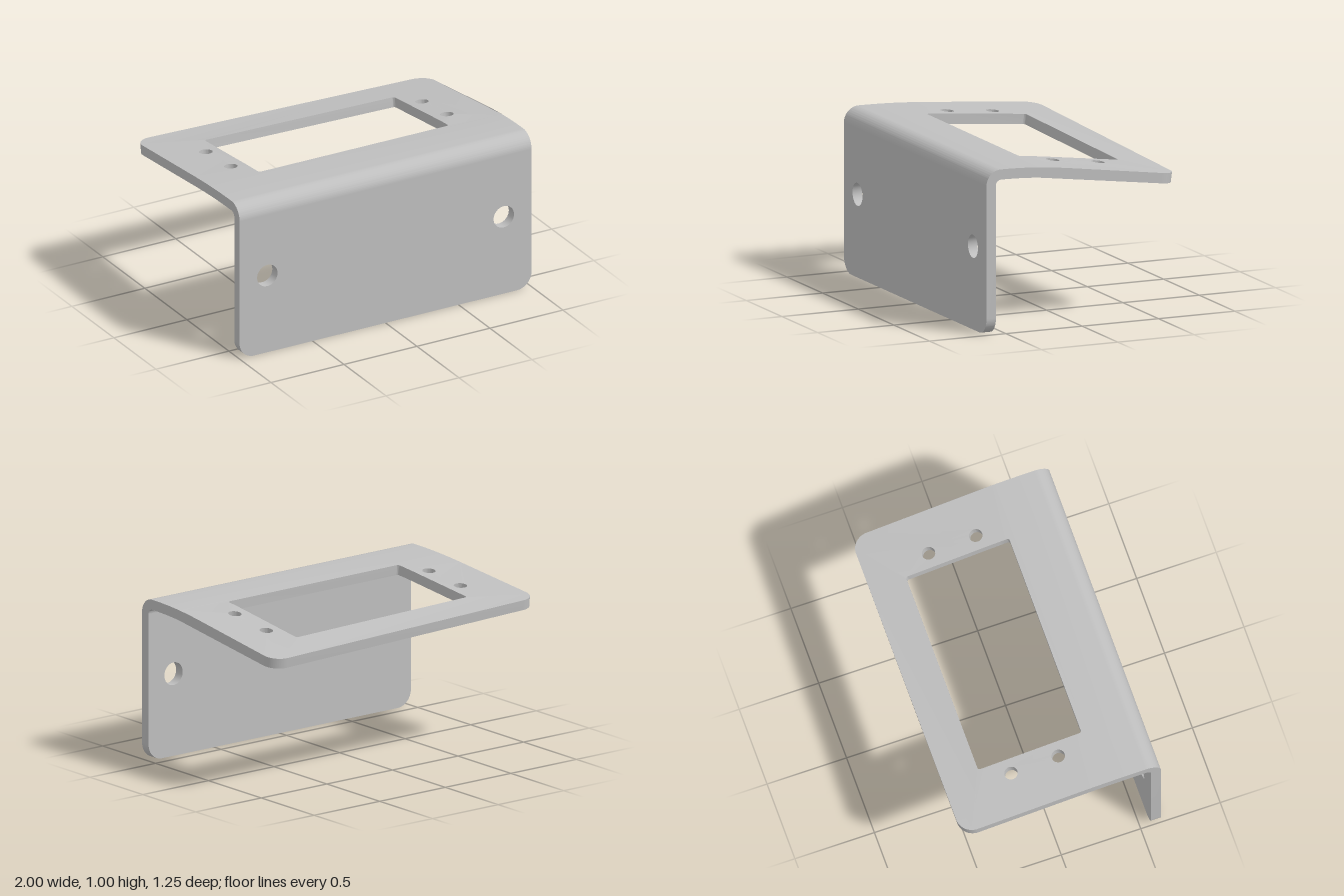
import * as THREE from 'three';
import { toCreasedNormals } from 'three/addons/utils/BufferGeometryUtils.js';

const T = 0.062;                       // sheet thickness
const FRONT = 0.627, BACK = -0.625;    // outer z limits
const BEND_Z = 0.532, BEND_Y = 0.905;  // centre of the bend
const SEAM = 0.28;                     // where the bend piece meets the top plate

// Slope of the top plate along z: eases in behind the bend, then stays constant
function sag(z) {
  const ease = 0.43, max = 0.14, u = Math.max(0, BEND_Z - z);
  return u < ease
    ? { drop: (max * u * u) / (2 * ease), slope: (max * u) / ease }
    : { drop: max * (u - ease / 2), slope: max };
}

// Tilt the sheet backwards, a little more towards +x
function warp(geometry) {
  const p = geometry.attributes.position;
  for (let i = 0; i < p.count; i++) {
    const x = p.getX(i), y = p.getY(i), z = p.getZ(i);
    if (z >= BEND_Z) continue;
    const { drop, slope } = sag(z), k = 0.805 + 0.195 * x;
    p.setXYZ(i, x, y - drop * k, z + (1 - y) * slope * k);
  }
  return geometry;
}

// Leave out the hidden end faces where two pieces join
function openSeam(geometry, onSeam) {
  const p = geometry.attributes.position, kept = [], v = new THREE.Vector3();
  for (let i = 0; i < p.count; i += 3) {
    const tri = [0, 1, 2].map((j) => v.fromBufferAttribute(p, i + j).clone());
    if (!onSeam.some((test) => tri.every(test))) tri.forEach((c) => kept.push(c.x, c.y, c.z));
  }
  const out = new THREE.BufferGeometry();
  out.setAttribute('position', new THREE.Float32BufferAttribute(kept, 3));
  return out;
}

const near = (a, b) => Math.abs(a - b) < 1e-4;
const atBendFoot = (c) => near(c.y, BEND_Y);
const atPlateSeam = (c) => near(c.z, SEAM);

function extrude(shape, depth, steps = 1) {
  return new THREE.ExtrudeGeometry(shape, { depth, steps, bevelEnabled: false, curveSegments: 16 });
}

function hole(x, y, r) {
  const path = new THREE.Path();
  path.absarc(x, y, r, 0, Math.PI * 2, true);
  return path;
}

// Upright flange with two bolt holes and rounded lower corners
function flangeGeometry() {
  const r = 0.1, s = new THREE.Shape();
  s.moveTo(1, BEND_Y);
  s.lineTo(-1, BEND_Y);
  s.lineTo(-1, r);
  s.absarc(-1 + r, r, r, Math.PI, Math.PI * 1.5, false);
  s.lineTo(1 - r, 0);
  s.absarc(1 - r, r, r, Math.PI * 1.5, Math.PI * 2, false);
  s.lineTo(1, BEND_Y);
  for (const side of [-1, 1]) s.holes.push(hole(side * 0.81, 0.505, 0.07));
  return openSeam(extrude(s, T).translate(0, 0, FRONT - T), [atBendFoot]);
}

// Rounded bend and the plain strip behind it, swept across the width
function bendGeometry() {
  const outer = FRONT - BEND_Z, s = new THREE.Shape();
  const strip = [0.48, 0.43, 0.38, 0.33, SEAM];
  s.moveTo(FRONT, BEND_Y);
  s.absarc(BEND_Z, BEND_Y, outer, 0, Math.PI / 2, false);
  strip.forEach((z) => s.lineTo(z, 1));
  [...strip].reverse().forEach((z) => s.lineTo(z, 1 - T));
  s.absarc(BEND_Z, BEND_Y, outer - T, Math.PI / 2, 0, true);
  s.lineTo(FRONT, BEND_Y);
  const g = extrude(s, 2, 8).rotateY(-Math.PI / 2).translate(1, 0, 0);
  return warp(openSeam(g, [atBendFoot, atPlateSeam]));
}

// Top plate with the rectangular window and four screw holes (shape y is -z)
function plateGeometry() {
  const r = 0.1, back = -BACK, bendPoints = [-0.19, -0.1];
  const s = new THREE.Shape();
  s.moveTo(-1, -SEAM);
  s.lineTo(1, -SEAM);
  bendPoints.forEach((y) => s.lineTo(1, y));
  s.lineTo(1, back - r);
  s.absarc(1 - r, back - r, r, 0, Math.PI / 2, false);
  s.lineTo(-1 + r, back);
  s.absarc(-1 + r, back - r, r, Math.PI / 2, Math.PI, false);
  [...bendPoints].reverse().forEach((y) => s.lineTo(-1, y));
  s.lineTo(-1, -SEAM);

  const w = 0.65, y0 = -0.25, y1 = 0.4, c = 0.015, q = Math.PI / 2;
  const win = new THREE.Path();
  win.moveTo(-w + c, y0);
  win.absarc(w - c, y0 + c, c, -q, 0, false);
  bendPoints.forEach((y) => win.lineTo(w, y));
  win.absarc(w - c, y1 - c, c, 0, q, false);
  win.absarc(-w + c, y1 - c, c, q, 2 * q, false);
  [...bendPoints].reverse().forEach((y) => win.lineTo(-w, y));
  win.absarc(-w + c, y0 + c, c, 2 * q, 3 * q, false);
  s.holes.push(win);
  for (const side of [-1, 1])
    for (const z of [-0.225, 0.072]) s.holes.push(hole(side * 0.74, -z, 0.04));

  const g = extrude(s, T).rotateX(-Math.PI / 2).translate(0, 1 - T, 0);
  return warp(openSeam(g, [atPlateSeam]));
}

export function createModel() {
  const steel = new THREE.MeshStandardMaterial({ color: 0xbfbfbf });
  steel.name = 'grey steel';
  const bracket = new THREE.Group();
  bracket.name = 'bracket';
  const parts = { uprightFlange: flangeGeometry(), bend: bendGeometry(), topPlate: plateGeometry() };
  for (const [name, geometry] of Object.entries(parts)) {
    const mesh = new THREE.Mesh(toCreasedNormals(geometry, 0.6), steel);
    mesh.name = name;
    bracket.add(mesh);
  }
  return bracket;
}
